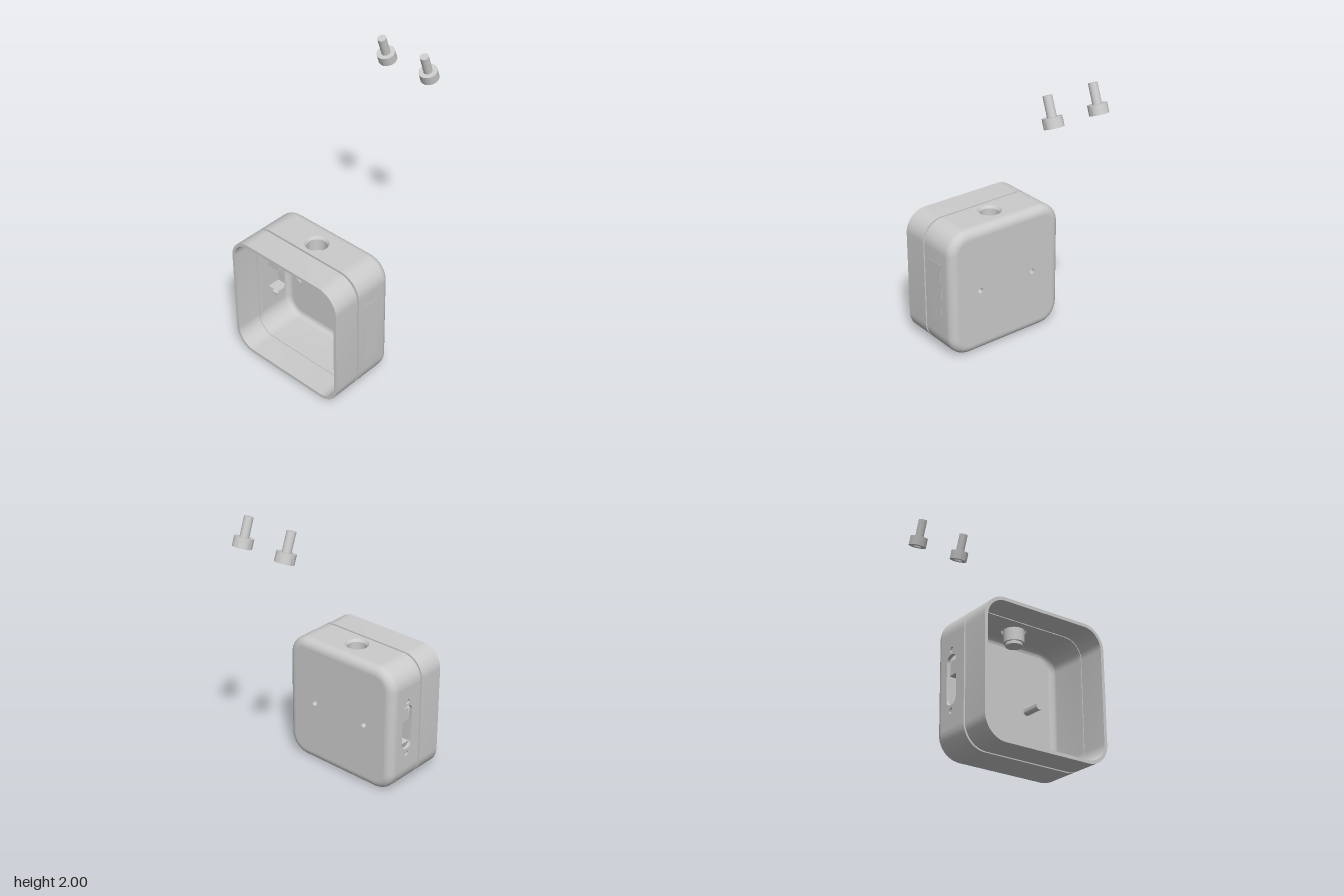
import * as THREE from 'three';
import { toCreasedNormals } from 'three/addons/utils/BufferGeometryUtils.js';

const H = 0.454;          // half width and half height of the case
const R = 0.15;           // corner radius
const T = 0.022;          // wall thickness
const F = 0.06;           // rounding of the back edge
const BACK = 0.12, SEAM = 0.408, FRONT = 0.615;
const N = 12;             // segments per rounded corner

const grey = new THREE.MeshStandardMaterial({ color: 0xcccccc });
const greyDouble = new THREE.MeshStandardMaterial({ color: 0xcccccc, side: THREE.DoubleSide });

function add(parent, name, geometry, x = 0, y = 0, z = 0, material = grey) {
  const mesh = new THREE.Mesh(geometry, material);
  mesh.name = name;
  mesh.position.set(x, y, z);
  parent.add(mesh);
  return mesh;
}

// Rounded square, counter-clockwise, drawn in from the outer wall
function loop(inset) {
  const c = H - R, r = R - inset, pts = [];
  [[1, 1], [-1, 1], [-1, -1], [1, -1]].forEach(([sx, sy], q) => {
    for (let i = 0; i <= N; i++) {
      const a = (q + i / N) * Math.PI / 2;
      pts.push(new THREE.Vector2(sx * c + r * Math.cos(a), sy * c + r * Math.sin(a)));
    }
  });
  return pts;
}

function circle(x, y, r) {
  return new THREE.Path().absarc(x, y, r, 0, Math.PI * 2, true);
}

function slot(x, y, w, h, r) {
  const p = new THREE.Path();
  for (const [sx, sy, a] of [[1, 1, 0], [-1, 1, 1], [-1, -1, 2], [1, -1, 3]]) {
    p.absarc(x + sx * (w / 2 - r), y + sy * (h / 2 - r), r, a * Math.PI / 2, (a + 1) * Math.PI / 2, false);
  }
  return p;
}

function extrude(points, holes, depth) {
  const shape = new THREE.Shape(points);
  shape.holes.push(...holes);
  const g = new THREE.ExtrudeGeometry(shape, { depth, bevelEnabled: false, curveSegments: 16 });
  return toCreasedNormals(g, 0.6);
}

function rect(x0, x1, y0, y1) {
  return [[x0, y0], [x1, y0], [x1, y1], [x0, y1]].map(p => new THREE.Vector2(...p));
}

// Back shell skin, leaving the flat top and right walls open for the panels
function shellGeometry() {
  const sections = [];
  const arc = (r, i) => {
    const a = i / 8 * Math.PI / 2;
    sections.push([F - r * Math.sin(a), BACK + F - r * Math.cos(a)]);
  };
  for (let i = 0; i <= 8; i++) arc(F, i);
  sections.push([0, SEAM], [T, SEAM]);
  for (let i = 8; i >= 0; i--) arc(F - T, i);

  const rings = sections.map(([inset, z]) => loop(inset).map(p => [p.x, p.y, z]));
  const pos = [], count = rings[0].length, flat = BACK + F - 1e-6;
  for (let k = 0; k < rings.length - 1; k++) {
    const straight = sections[k][1] > flat && sections[k + 1][1] > flat;
    for (let i = 0; i < count; i++) {
      if (straight && (i === N || i === 2 * N + 1)) continue;
      const j = (i + 1) % count;
      const a = rings[k][i], b = rings[k][j], c = rings[k + 1][j], d = rings[k + 1][i];
      pos.push(...a, ...b, ...c, ...a, ...c, ...d);
    }
  }
  const g = new THREE.BufferGeometry();
  g.setAttribute('position', new THREE.Float32BufferAttribute(pos, 3));
  return toCreasedNormals(g, 0.6);
}

function lathe(points) {
  const pts = points.map(p => new THREE.Vector2(...p));
  return toCreasedNormals(new THREE.LatheGeometry(pts, 32), 0.6);
}

function createCase() {
  const body = new THREE.Group();
  body.name = 'case';
  body.position.y = H;
  const c = H - R, z0 = BACK + F;
  const portZ = 0.28, buttonZ = 0.3, bossX = 0.217;

  add(body, 'backShell', shellGeometry());
  const screwHoles = [-1, 1].map(s => circle(s * bossX, 0, 0.02));
  add(body, 'backPlate', extrude(loop(F), screwHoles, T), 0, 0, BACK);

  const top = extrude(rect(-c, c, -SEAM, -z0), [circle(0, -buttonZ, 0.08)], T);
  add(body, 'topPanel', top.rotateX(-Math.PI / 2), 0, H - T, 0);

  const sideHoles = [slot(portZ, 0.005, 0.095, 0.32, 0.04)];
  for (const y of [-0.193, 0.197]) sideHoles.push(circle(portZ, y, 0.018));
  const side = extrude(rect(z0, SEAM, -c, c), sideHoles, T);
  add(body, 'portPanel', side.rotateY(-Math.PI / 2), T - H, 0, 0);

  // Front sleeve and the tongue that bridges the seam
  const ring = (outer, inner, depth) => extrude(loop(outer), [new THREE.Path(loop(inner))], depth);
  add(body, 'frontSleeve', ring(0, T, FRONT - SEAM - 0.014), 0, 0, SEAM + 0.014);
  add(body, 'seamTongue', ring(T - 0.001, T + 0.005, 0.035), 0, 0, SEAM - 0.012);

  // Stepped well in the top wall
  const well = lathe([[0, 0.331], [0.054, 0.331], [0.054, 0.351], [0.066, 0.351], [0.066, 0.436], [0.08, H]]);
  add(body, 'topWell', well, 0, 0, buttonZ, greyDouble);

  // Hollow screw bosses behind the back plate holes
  for (const s of [-1, 1]) {
    const boss = lathe([[0.02, 0], [0.026, 0], [0.026, 0.13], [0, 0.13]]);
    add(body, 'screwBoss', boss.rotateX(Math.PI / 2), s * bossX, 0, BACK + T, greyDouble);
    const bore = new THREE.CylinderGeometry(0.02, 0.02, 0.128, 24, 1, true);
    add(body, 'bossBore', bore.rotateX(Math.PI / 2), s * bossX, 0, BACK + T + 0.064, greyDouble);
  }

  // Connector blocks and indicator pins inside the right wall
  add(body, 'upperConnector', new THREE.BoxGeometry(0.088, 0.09, 0.07), -0.391, 0.09, portZ);
  const wedge = rect(-0.435, -0.347, -0.045, 0.025);
  wedge.splice(2, 1, new THREE.Vector2(-0.347, 0.01), new THREE.Vector2(-0.375, 0.045));
  wedge[wedge.length - 1].y = 0.045;
  const lower = extrude(wedge.map(p => new THREE.Vector2(p.x, p.y)), [], 0.165);
  add(body, 'lowerConnector', lower.rotateX(-Math.PI / 2), 0, -0.122, portZ).scale.z = -1;
  body.children[body.children.length - 1].geometry.scale(1, 1, -1);
  for (const y of [-0.193, 0.197]) {
    const pin = new THREE.CylinderGeometry(0.015, 0.015, 0.055, 20);
    add(body, 'indicatorPin', pin.rotateZ(Math.PI / 2), -0.4175, y, portZ);
  }

  // Thin raised key on the left wall
  add(body, 'sideKey', new THREE.BoxGeometry(0.006, 0.44, 0.125), H - 0.001, 0, 0.293);
  return body;
}

// Cap screw standing on its head, with a hexagonal socket underneath
function createScrew(x) {
  const screw = new THREE.Group();
  screw.name = 'screw';
  const polygon = (r, n) => Array.from({ length: n }, (_, i) => {
    const a = i / n * Math.PI * 2;
    return new THREE.Vector2(r * Math.cos(a), r * Math.sin(a));
  });
  const socket = extrude(polygon(0.061, 40), [new THREE.Path(polygon(0.032, 6))], 0.04);
  add(screw, 'socketHead', socket.rotateX(-Math.PI / 2));
  add(screw, 'headTop', new THREE.CylinderGeometry(0.061, 0.061, 0.023, 40), 0, 0.0515, 0);
  add(screw, 'shank', new THREE.CylinderGeometry(0.029, 0.029, 0.127, 32), 0, 0.1265, 0);
  screw.position.set(x, 1.811, -0.556);
  screw.rotation.x = THREE.MathUtils.degToRad(20);
  return screw;
}

export function createModel() {
  const model = new THREE.Group();
  model.name = 'caseWithScrews';
  model.add(createCase(), createScrew(-0.173), createScrew(0.173));
  return model;
}
